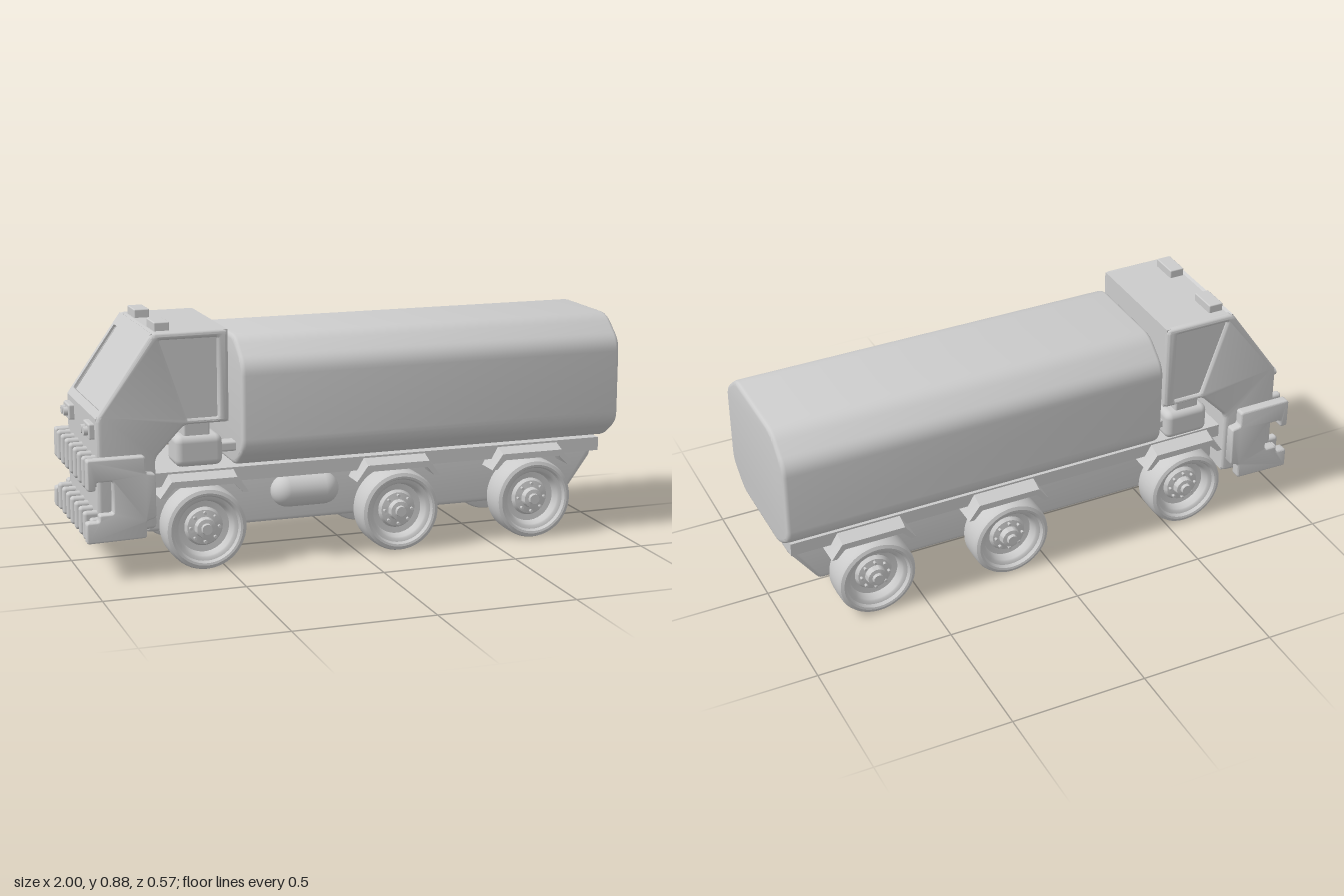
import * as THREE from 'three';
import { toCreasedNormals } from 'three/addons/utils/BufferGeometryUtils.js';
import { RoundedBoxGeometry } from 'three/addons/geometries/RoundedBoxGeometry.js';

const grey = new THREE.MeshStandardMaterial({ color: 0xcccccc });

function add(parent, name, geometry, x = 0, y = 0, z = 0) {
  const mesh = new THREE.Mesh(geometry, grey);
  mesh.name = name;
  mesh.position.set(x, y, z);
  parent.add(mesh);
  return mesh;
}

// Closed outline with corners rounded by radius r
function outline(points, r = 0, Type = THREE.Shape) {
  const pts = points.map(p => new THREE.Vector2(p[0], p[1]));
  const shape = new Type();
  pts.forEach((p, i) => {
    const prev = pts[(i + pts.length - 1) % pts.length], next = pts[(i + 1) % pts.length];
    const a = p.clone().add(prev.clone().sub(p).setLength(r));
    const b = p.clone().add(next.clone().sub(p).setLength(r));
    if (i) shape.lineTo(a.x, a.y); else shape.moveTo(a.x, a.y);
    if (r) shape.quadraticCurveTo(p.x, p.y, b.x, b.y);
  });
  shape.closePath();
  return shape;
}

// Plate of a given total thickness, centred on z = 0, with rounded rims
function plate(shape, thickness, bevel = 0) {
  const depth = thickness - 2 * bevel;
  const g = new THREE.ExtrudeGeometry(shape, {
    depth, bevelEnabled: bevel > 0, bevelThickness: bevel, bevelSize: bevel,
    bevelOffset: -bevel, bevelSegments: 3, curveSegments: 6,
  });
  g.translate(0, 0, -depth / 2);
  return toCreasedNormals(g, 0.6);
}

function box(w, h, d, r = 0.01) {
  return new RoundedBoxGeometry(w, h, d, 3, r);
}

function makeCab() {
  const cab = new THREE.Group();
  cab.name = 'cab';
  const back = [[-0.48, 0.845], [-0.48, 0.52], [-0.64, 0.52], [-0.745, 0.41], [-0.745, 0.16], [-0.95, 0.15]];
  const side = outline([[-0.95, 0.56], [-0.75, 0.845], ...back], 0.018);
  side.holes.push(outline([[-0.725, 0.82], [-0.63, 0.54], [-0.52, 0.54], [-0.52, 0.82]], 0.006, THREE.Path));
  const core = outline([[-0.95, 0.56], [-0.935, 0.56], [-0.735, 0.845], ...back]);
  add(cab, 'cabBody', plate(core, 0.466));
  for (const s of [1, -1]) add(cab, 'cabSide', plate(side, 0.036, 0.012), 0, 0, s * 0.227);

  // Windscreen surround lies on the sloping front
  const frame = outline([[-0.233, 0], [0.233, 0], [0.233, 0.348], [-0.233, 0.348]]);
  frame.holes.push(outline([[-0.21, 0.03], [-0.21, 0.3], [0.21, 0.3], [0.21, 0.03]], 0.008, THREE.Path));
  const up = new THREE.Vector3(0.2, 0.285, 0).normalize();
  const across = new THREE.Vector3(0, 0, 1);
  const out = across.clone().cross(up);
  const g = plate(frame, 0.012);
  g.translate(0, 0, -0.006);
  g.applyMatrix4(new THREE.Matrix4().makeBasis(across, up, out));
  add(cab, 'windscreenFrame', g, -0.95, 0.56, 0);

  for (const s of [1, -1]) {
    add(cab, 'roofLight', box(0.055, 0.04, 0.106, 0.004), -0.703, 0.855, s * 0.142);
    add(cab, 'headlightHousing', box(0.03, 0.055, 0.09, 0.006), -0.955, 0.512, s * 0.165);
    for (const dz of [-0.02, 0.02]) {
      const lamp = new THREE.CylinderGeometry(0.015, 0.017, 0.02, 20).rotateZ(Math.PI / 2);
      add(cab, 'headlight', lamp, -0.974, 0.512, s * 0.165 + dz);
    }
    // Intake box hanging under the back of the cab
    add(cab, 'intakeBox', box(0.17, 0.11, 0.13, 0.025), -0.585, 0.42, s * 0.17);
    add(cab, 'intakeNeck', box(0.095, 0.06, 0.09, 0.008), -0.59, 0.495, s * 0.17);
    add(cab, 'intakePipe', box(0.08, 0.035, 0.06, 0.008), -0.475, 0.42, s * 0.17);
  }
  return cab;
}

function makeBumper() {
  const bumper = new THREE.Group();
  bumper.name = 'bumper';
  const end = outline([
    [-1, 0.135], [-0.79, 0.14], [-0.79, 0.2], [-0.755, 0.21], [-0.755, 0.365], [-0.79, 0.37], [-0.79, 0.43],
    [-0.995, 0.43], [-0.995, 0.32], [-0.965, 0.32], [-0.965, 0.35], [-0.905, 0.35],
    [-0.905, 0.235], [-0.955, 0.235], [-0.955, 0.21], [-1, 0.21],
  ], 0.01);
  for (const s of [1, -1]) add(bumper, 'bumperEnd', plate(end, 0.04, 0.006), 0, 0, s * 0.263);
  // Two cross bars, each wrapped by a row of upright ribs
  for (const [y, h] of [[0.375, 0.11], [0.185, 0.1]]) {
    add(bumper, 'bumperBar', box(0.045, h * 0.6, 0.51), -0.957, y, 0);
    for (let i = -3; i <= 3; i++) {
      add(bumper, 'bumperRib', box(0.07, h, 0.032, 0.012), -0.963, y, i * 0.07);
    }
  }
  return bumper;
}

// Wheel with its outer face toward +z
function makeWheel() {
  const wheel = new THREE.Group();
  wheel.name = 'wheel';
  const profile = [
    [0, 0], [0.13, 0], [0.142, 0.005], [0.147, 0.018], [0.148, 0.06], [0.147, 0.102], [0.142, 0.115], [0.13, 0.12],
    [0.122, 0.118], [0.116, 0.106], [0.105, 0.103], [0.1, 0.098], [0.092, 0.07], [0.07, 0.068], [0.062, 0.082],
    [0.038, 0.086], [0.034, 0.108], [0.02, 0.11], [0.018, 0.122], [0, 0.122],
  ].map(p => new THREE.Vector2(p[0], p[1]));
  const g = toCreasedNormals(new THREE.LatheGeometry(profile, 48), 0.6);
  add(wheel, 'tyreAndRim', g.rotateX(Math.PI / 2));
  for (let i = 0; i < 8; i++) {
    const a = i * Math.PI / 4;
    const bolt = new THREE.CylinderGeometry(0.006, 0.006, 0.02, 6).rotateX(Math.PI / 2);
    add(wheel, 'wheelBolt', bolt, 0.052 * Math.cos(a), 0.052 * Math.sin(a), 0.086);
  }
  return wheel;
}

// Angular mudguard whose outer edge slopes down
function fenderGeometry() {
  const g = new THREE.ExtrudeGeometry(outline([
    [-0.16, 0.265], [-0.14, 0.265], [-0.108, 0.315], [0.108, 0.315], [0.14, 0.265],
    [0.16, 0.265], [0.118, 0.338], [-0.118, 0.338],
  ]), { depth: 0.095, steps: 2, bevelEnabled: false });
  const p = g.attributes.position;
  for (let i = 0; i < p.count; i++) {
    p.setZ(i, p.getZ(i) + 0.155);
    if (p.getY(i) > 0.3) p.setY(i, p.getY(i) - Math.max(0, p.getZ(i) - 0.203) * 0.35);
  }
  return toCreasedNormals(g, 0.3);
}

export function createModel() {
  const truck = new THREE.Group();
  truck.name = 'tankTruck';
  truck.add(makeCab(), makeBumper());

  // Eight-sided cargo tank along x
  const tank = outline([
    [-0.18, 0.345], [0.18, 0.345], [0.285, 0.42], [0.285, 0.725],
    [0.18, 0.812], [-0.18, 0.812], [-0.285, 0.725], [-0.285, 0.42],
  ], 0.04);
  add(truck, 'cargoTank', plate(tank, 1.445, 0.015).rotateY(Math.PI / 2), 0.2775, 0, 0);

  // Chassis hull with raked tail, and the deck above it
  const hull = outline([[-0.76, 0.12], [0.85, 0.12], [0.96, 0.27], [0.96, 0.31], [-0.76, 0.31]], 0.015);
  add(truck, 'chassisHull', plate(hull, 0.3, 0.015));
  add(truck, 'deck', new THREE.BoxGeometry(1.71, 0.05, 0.4), 0.11, 0.32, 0);

  // Three axles with wheels and mudguards on both sides
  const guard = fenderGeometry();
  for (const x of [-0.573, 0.15, 0.675]) {
    const axle = new THREE.CylinderGeometry(0.025, 0.025, 0.36, 16).rotateX(Math.PI / 2);
    add(truck, 'axle', axle, x, 0.15, 0);
    for (const s of [1, -1]) {
      const turn = s > 0 ? 0 : Math.PI;
      const wheel = makeWheel();
      wheel.position.set(x, 0.148, s * 0.156);
      wheel.rotation.y = turn;
      truck.add(wheel);
      add(truck, 'mudguard', guard, x, 0, 0).rotation.y = turn;
    }
  }

  // Fuel tank on the left flank
  const fuel = new THREE.CapsuleGeometry(0.058, 0.135, 8, 24).rotateZ(Math.PI / 2);
  add(truck, 'fuelTank', fuel, -0.185, 0.238, 0.18);
  return truck;
}
